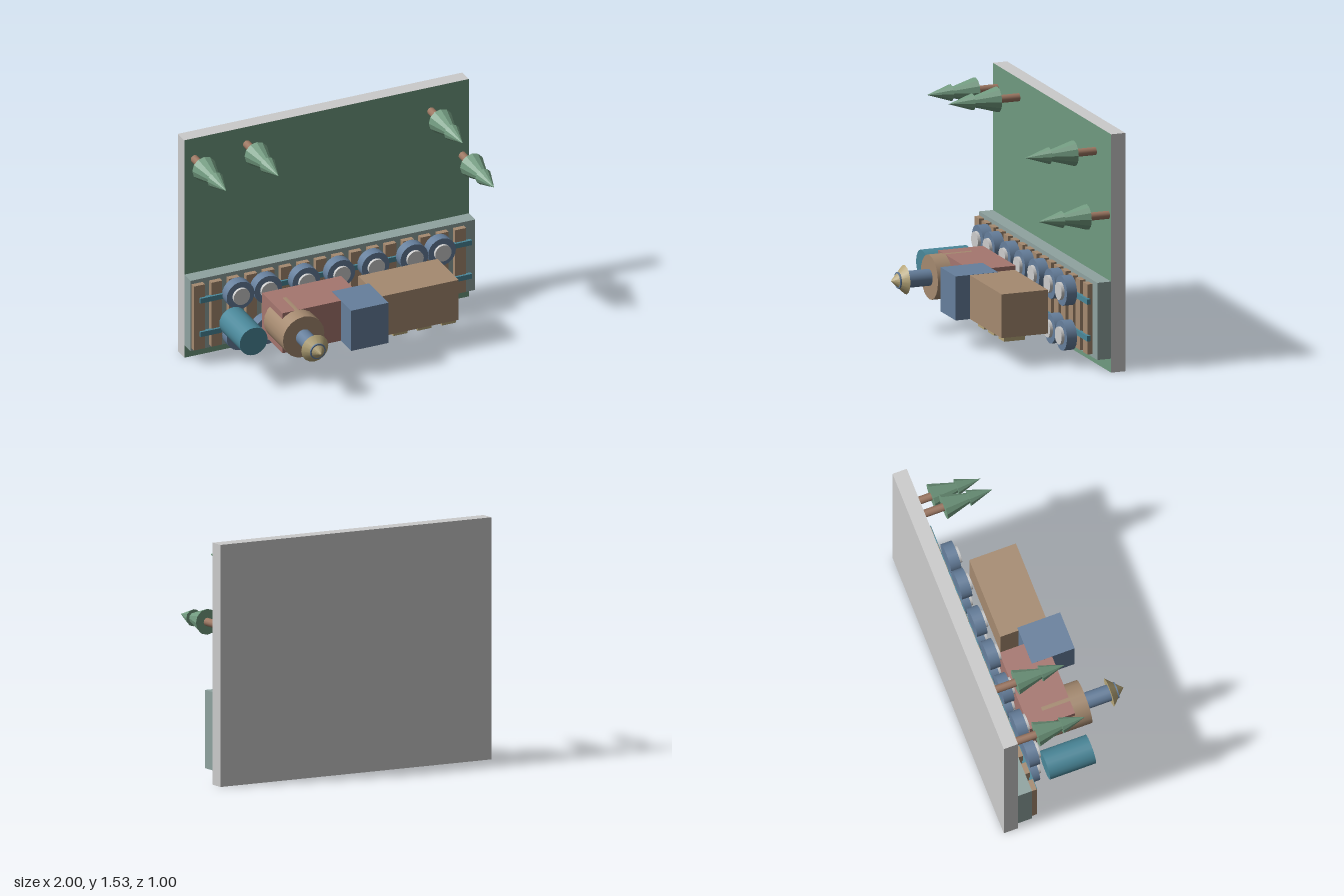
import * as THREE from 'three';

const COLORS = {
  board: 0xcccccc, grass: 0x6f9a80, ballast: 0x8fa3a0, wood: 0xa58a70, rail: 0x4a8799,
  steel: 0x667f9c, hub: 0xcccccc, red: 0xa5766f, brass: 0xb5a578, leaf: 0x729b80, trunk: 0x9c7762,
};

export function createModel() {
  const model = new THREE.Group();
  const mats = {};
  const material = (key, flat) => (mats[key + flat] ??= new THREE.MeshStandardMaterial({ color: COLORS[key], flatShading: flat }));

  function add(name, geometry, key, flat = false, parent = model) {
    const mesh = new THREE.Mesh(geometry, material(key, flat));
    mesh.name = name;
    parent.add(mesh);
    return mesh;
  }

  // Box given by its extents on each axis
  function box(name, key, [x0, x1], [y0, y1], [z0, z1]) {
    const g = new THREE.BoxGeometry(x1 - x0, y1 - y0, z1 - z0);
    g.translate((x0 + x1) / 2, (y0 + y1) / 2, (z0 + z1) / 2);
    return add(name, g, key);
  }

  // Round part along z, from z0 (radius r0) to z1 (radius r1)
  function round(name, key, x, y, z0, z1, r0, r1 = r0, sides = 24, flat = false, parent = model) {
    const g = new THREE.CylinderGeometry(r1, r0, z1 - z0, sides);
    g.rotateX(Math.PI / 2);
    g.translate(x, y, (z0 + z1) / 2);
    return add(name, g, key, flat, parent);
  }

  // Base board with its grass face
  box('baseBoard', 'board', [-0.99, 0.96], [0, 1.53], [-0.5, -0.405]);
  const grass = new THREE.PlaneGeometry(1.95, 1.53);
  grass.translate(-0.015, 0.765, -0.4045);
  add('grass', grass, 'grass');

  // Track: ballast, sleepers and two rails
  box('ballast', 'ballast', [-0.99, 0.96], [0.09, 0.585], [-0.405, -0.312]);
  for (let i = 0; i < 16; i++) {
    const x = -0.945 + i * 0.1193;
    box('sleeper', 'wood', [x - 0.037, x + 0.037], [0.11, 0.56], [-0.312, -0.277]);
  }
  for (const y of [0.22, 0.456]) {
    box('rail', 'rail', [-0.945, 0.915], [y - 0.017, y + 0.017], [-0.285, -0.262]);
  }

  // Wheels with hubs, in two rows
  for (const x of [-0.705, -0.515, -0.255, -0.015, 0.22, 0.485, 0.675]) {
    for (const y of [0.193, 0.48]) {
      const wheel = new THREE.Group();
      wheel.name = 'wheel';
      round('tyre', 'steel', x, y, -0.253, -0.185, 0.095, 0.095, 24, false, wheel);
      round('hub', 'hub', x, y, -0.2, -0.165, 0.056, 0.056, 24, false, wheel);
      model.add(wheel);
    }
  }

  // Locomotive: tank, body, boiler, chimney with cap, cab
  round('frontTank', 'rail', -0.775, 0.338, -0.145, 0.16, 0.095);
  box('engineBody', 'red', [-0.567, -0.025], [0.197, 0.478], [-0.165, 0.135]);
  round('boiler', 'wood', -0.467, 0.338, -0.05, 0.235, 0.142, 0.142, 20);
  round('chimney', 'steel', -0.467, 0.338, 0.2, 0.45, 0.053, 0.053, 20);
  round('chimneyCap', 'brass', -0.467, 0.338, 0.4, 0.495, 0.093, 0, 16);
  box('cab', 'steel', [-0.165, 0.09], [0.196, 0.479], [0, 0.285]);

  // Tender with blocks beneath
  box('tender', 'wood', [0.07, 0.615], [0.197, 0.478], [-0.12, 0.19]);
  for (const x of [0.225, 0.392, 0.558]) {
    box('tenderBlock', 'brass', [x - 0.048, x + 0.048], [0.17, 0.22], [0.03, 0.17]);
  }

  // Pine trees standing out from the board
  for (const [x, y] of [[-0.92, 1.385], [-0.562, 1.41], [0.7, 1.362], [0.915, 1.003]]) {
    const tree = new THREE.Group();
    tree.name = 'pineTree';
    round('trunk', 'trunk', x, y, -0.405, -0.24, 0.026, 0.026, 12, false, tree);
    round('lowerFoliage', 'leaf', x, y, -0.26, 0.02, 0.082, 0, 12, true, tree);
    round('upperFoliage', 'leaf', x, y, -0.093, 0.068, 0.054, 0, 12, true, tree);
    model.add(tree);
  }

  return model;
}
